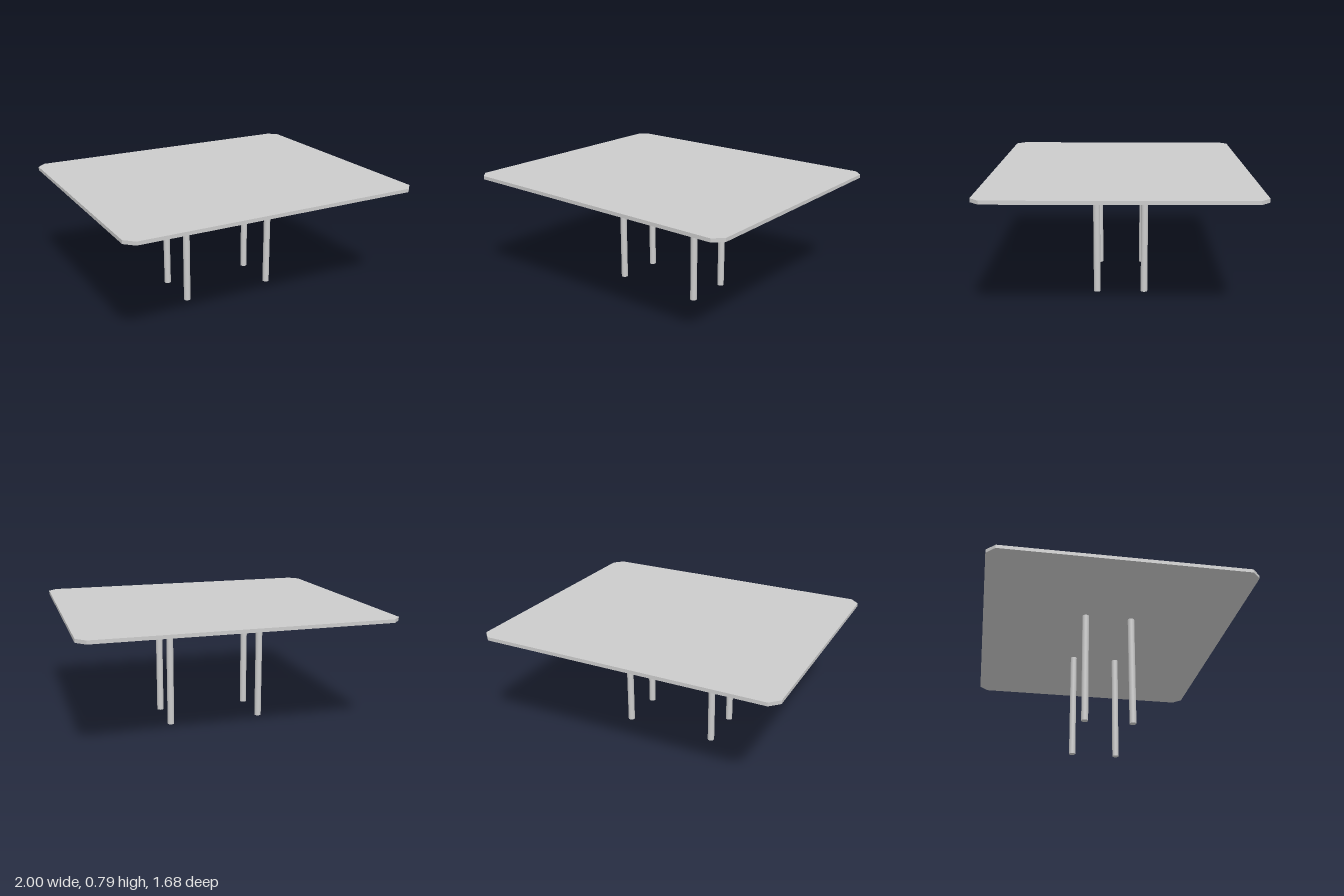
import * as THREE from 'three';

const HALF_X = 1, HALF_Z = 0.842, CHAMFER = 0.058;
const LEG_HEIGHT = 0.763, THICKNESS = 0.023;
const LEG_X = 0.313, LEG_Z = 0.156, LEG_RADIUS = 0.0225;

export function createModel() {
  const group = new THREE.Group();
  group.name = 'table';
  const material = new THREE.MeshStandardMaterial({ color: 0xcccccc });

  // Table top: a thin rectangle with clipped corners
  const shape = new THREE.Shape([
    [HALF_X - CHAMFER, -HALF_Z], [HALF_X, -HALF_Z + CHAMFER],
    [HALF_X, HALF_Z - CHAMFER], [HALF_X - CHAMFER, HALF_Z],
    [-HALF_X + CHAMFER, HALF_Z], [-HALF_X, HALF_Z - CHAMFER],
    [-HALF_X, -HALF_Z + CHAMFER], [-HALF_X + CHAMFER, -HALF_Z],
  ].map(([x, y]) => new THREE.Vector2(x, y)));
  const topGeometry = new THREE.ExtrudeGeometry(shape, { depth: THICKNESS, bevelEnabled: false });
  topGeometry.rotateX(-Math.PI / 2);
  topGeometry.translate(0, LEG_HEIGHT, 0);
  const top = new THREE.Mesh(topGeometry, material);
  top.name = 'tableTop';
  group.add(top);

  // Four slim round legs, set in towards the middle
  const legGeometry = new THREE.CylinderGeometry(LEG_RADIUS, LEG_RADIUS, LEG_HEIGHT, 24);
  for (const [zName, z] of [['front', LEG_Z], ['back', -LEG_Z]]) {
    for (const [xName, x] of [['Left', LEG_X], ['Right', -LEG_X]]) {
      const leg = new THREE.Mesh(legGeometry, material);
      leg.name = `${zName}${xName}Leg`;
      leg.position.set(x, LEG_HEIGHT / 2, z);
      group.add(leg);
    }
  }
  return group;
}
